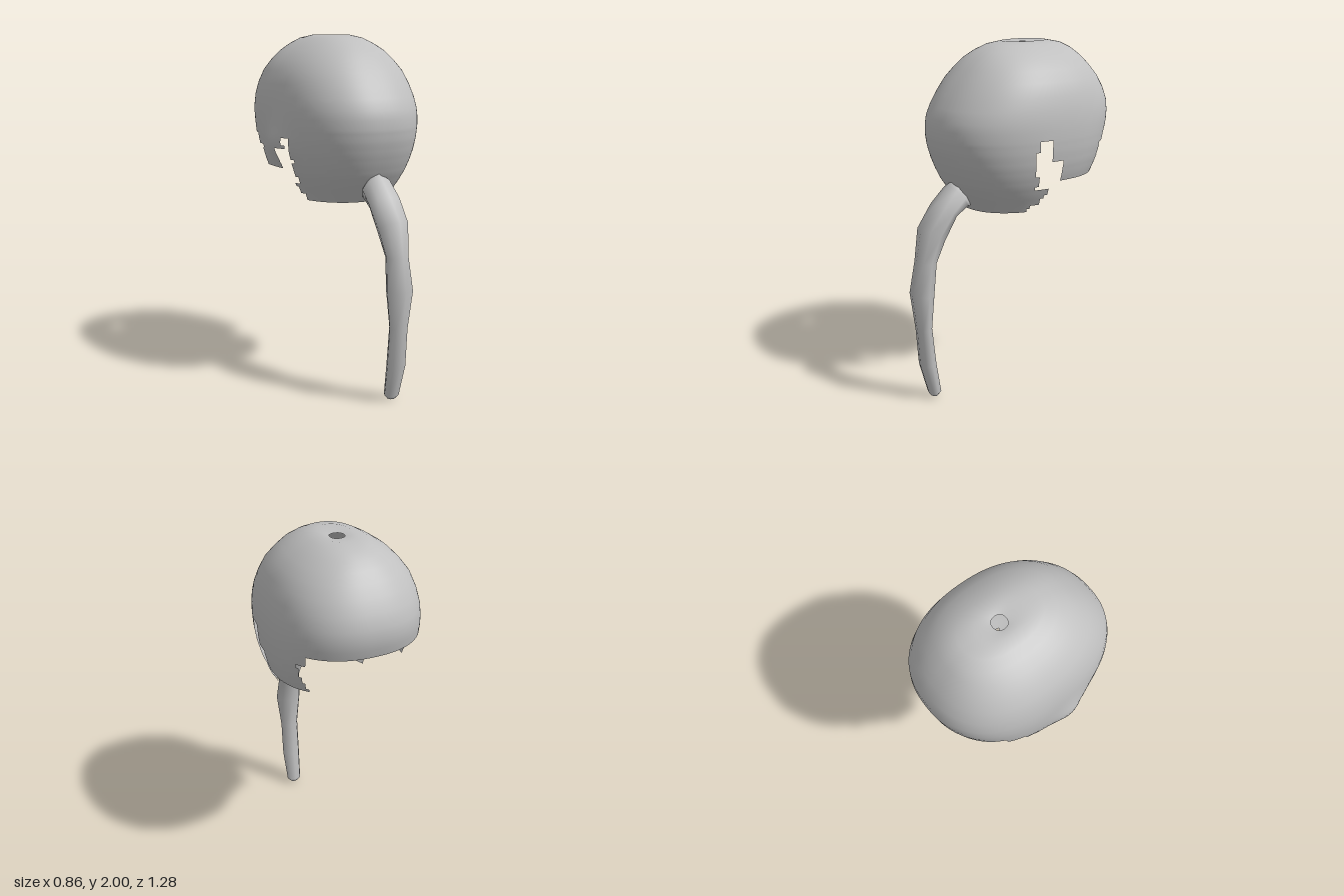
import * as THREE from 'three';

// Surface from a rows x cols grid that wraps around; keep() drops cells
function gridSurface(rows, cols, point, keep = () => true) {
  const pos = [], index = [];
  for (let r = 0; r < rows; r++)
    for (let c = 0; c < cols; c++) pos.push(...point(r, (c / cols) * Math.PI * 2));
  for (let r = 0; r < rows - 1; r++)
    for (let c = 0; c < cols; c++) {
      const mid = point(r, ((c + 0.5) / cols) * Math.PI * 2);
      const low = point(r + 1, ((c + 0.5) / cols) * Math.PI * 2);
      if (!keep(mid[0], (mid[1] + low[1]) / 2, (mid[2] + low[2]) / 2)) continue;
      const n = (c + 1) % cols, a = r * cols + c, b = r * cols + n;
      const d = a + cols, e = b + cols;
      index.push(a, d, b, b, d, e);
    }
  const g = new THREE.BufferGeometry();
  g.setAttribute('position', new THREE.Float32BufferAttribute(pos, 3));
  g.setIndex(index);
  g.computeVertexNormals();
  return g;
}

// Cap cross-sections: y, front z, back z, half width
const CAP = [
  [1.985, -0.11, -0.19, 0.04], [1.997, 0.0, -0.28, 0.09], [1.98, 0.09, -0.37, 0.15],
  [1.95, 0.155, -0.43, 0.205], [1.91, 0.215, -0.475, 0.265], [1.86, 0.265, -0.52, 0.315],
  [1.8, 0.32, -0.565, 0.36], [1.73, 0.37, -0.605, 0.388], [1.66, 0.415, -0.63, 0.405],
  [1.6, 0.443, -0.632, 0.413], [1.55, 0.452, -0.625, 0.416], [1.5, 0.453, -0.61, 0.416],
  [1.43, 0.442, -0.59, 0.412], [1.36, 0.42, -0.56, 0.402], [1.3, 0.395, -0.53, 0.387],
  [1.24, 0.365, -0.5, 0.366], [1.18, 0.325, -0.47, 0.338], [1.12, 0.28, -0.44, 0.305],
  [1.08, 0.25, -0.42, 0.285],
];
const CZ = -0.15;

function capSection(y) {
  let i = 2;
  while (i < CAP.length - 2 && CAP[i + 1][0] > y) i++;
  const t = (CAP[i][0] - y) / (CAP[i][0] - CAP[i + 1][0]);
  return CAP[i].map((v, k) => THREE.MathUtils.lerp(v, CAP[i + 1][k], t));
}

// Full sections on the crown, fine rows below so the ragged hem can be cut
const rings = CAP.filter((s) => s[0] >= 1.5);
for (let k = 1; k <= 21; k++) rings.push(capSection(1.5 - k * 0.02));

function capPoint(r, a) {
  const [y, zf, zb, w] = rings[r];
  const s = Math.sin(a), c = Math.cos(a), p = 2.3;
  const k = Math.pow(Math.abs(s) ** p + Math.abs(c) ** p, -1 / p);
  const z = CZ + c * k * (c > 0 ? zf - CZ : CZ - zb);
  let x = 0.01 + s * k * w;
  // Flare over the right side lock
  if (x < 0) x -= 0.035 * Math.exp(-(((z + 0.03) / 0.11) ** 2) - ((y - 1.4) / 0.1) ** 2);
  return [x, y, z];
}

// Hem: pieces that hang below the crown, per side: min z, max z, min y, max y
const HEM = {
  left: [[0.07, 1, 1.3, 1.5], [0.04, 1, 1.22, 1.3], [-0.04, 1, 1.17, 1.22], [-0.02, 1, 1.12, 1.17],
    [0.04, 1, 1.0, 1.12], [-0.47, -0.03, 1.43, 1.5], [-0.42, -0.03, 1.38, 1.43], [-0.42, -0.1, 1.26, 1.38]],
  right: [[0.08, 1, 1.3, 1.5], [0.06, 1, 1.18, 1.3], [0.02, 1, 1.12, 1.18], [0.05, 1, 1.0, 1.12],
    [-0.4, 1, 1.44, 1.5], [-0.3, 0.04, 1.38, 1.44], [-0.23, -0.03, 1.26, 1.38]],
};
const keepCap = (x, y, z) => y > 1.5 ||
  HEM[x > 0 ? 'left' : 'right'].some(([z0, z1, y0, y1]) => z > z0 && z < z1 && y > y0 && y <= y1);

// Hanging tail sections: outer z, outer y, inner z, inner y, half width
const TAIL = [
  [0.36, 1.26, 0.25, 1.09, 0.06], [0.39, 1.235, 0.29, 1.1, 0.09], [0.48, 1.14, 0.37, 1.06, 0.1],
  [0.575, 1.02, 0.445, 0.93, 0.093], [0.61, 0.83, 0.49, 0.82, 0.066], [0.643, 0.645, 0.515, 0.64, 0.08],
  [0.615, 0.43, 0.53, 0.44, 0.056], [0.6, 0.21, 0.505, 0.22, 0.056], [0.547, 0.025, 0.474, 0.035, 0.045],
  [0.53, 0.005, 0.49, 0.008, 0.025], [0.51, 0, 0.51, 0, 0],
];
function tailPoint(r, a) {
  const [zo, yo, zi, yi, w] = TAIL[r];
  const c = Math.cos(a) / 2;
  return [0.016 + Math.sin(a) * w, (yo + yi) / 2 + c * (yo - yi), (zo + zi) / 2 + c * (zo - zi)];
}

export function createModel() {
  const grey = new THREE.MeshStandardMaterial({ color: 0xc0c0c0, side: THREE.DoubleSide });
  grey.name = 'light grey';
  const group = new THREE.Group();
  const add = (name, geometry) => {
    const m = new THREE.Mesh(geometry, grey);
    m.name = name;
    group.add(m);
  };
  add('hairCap', gridSurface(rings.length, 144, capPoint, keepCap));
  add('hangingTail', gridSurface(TAIL.length, 8, tailPoint));
  return group;
}
